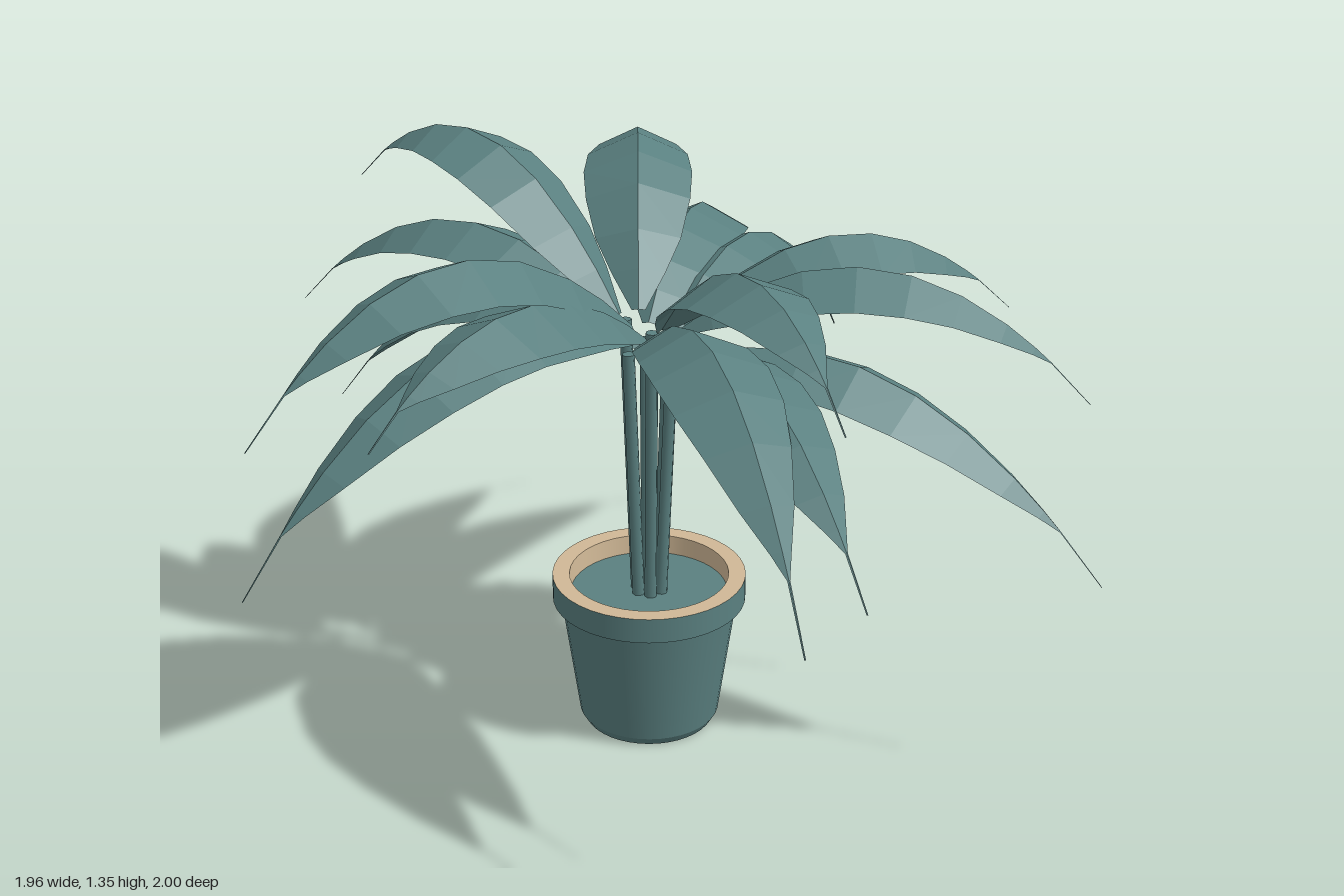
import * as THREE from 'three';

const CX = -0.03, CZ = 0.01; // pot axis

// Leaves as [base x, base z, tip x, tip z, base height, peak height, tip height, half width]
const LEAVES = [
  [-0.06, -0.02, -0.98, -0.33, 0.95, 1.06, 0.61, 0.125],
  [-0.08, 0.0, -0.95, -0.32, 1.0, 1.24, 0.94, 0.13],
  [-0.07, 0.035, -0.87, -0.06, 0.97, 1.16, 0.98, 0.13],
  [-0.06, -0.04, -0.10, -0.96, 0.97, 1.14, 0.84, 0.115],
  [0.03, -0.05, 0.05, -1.0, 0.9, 0.97, 0.52, 0.122],
  [-0.085, -0.03, -0.03, -0.82, 1.02, 1.35, 1.16, 0.12],
  [0.0, -0.04, 0.64, -0.51, 1.0, 1.26, 1.07, 0.125],
  [0.01, -0.02, 0.87, -0.36, 0.97, 1.1, 0.75, 0.125],
  [0.02, 0.035, 0.98, -0.13, 0.95, 1.06, 0.61, 0.125],
  [0.03, 0.06, 0.60, 0.56, 0.98, 1.16, 0.95, 0.125],
  [0.0, 0.06, 0.45, 0.85, 0.97, 1.14, 0.84, 0.125],
  [0.0, 0.06, 0.26, 1.0, 0.9, 0.97, 0.52, 0.125],
  [-0.05, 0.08, -0.49, 0.86, 0.95, 1.06, 0.75, 0.12],
  [-0.085, 0.05, -0.63, 0.81, 0.97, 1.12, 0.70, 0.125],
  [-0.065, 0.07, -0.42, 0.755, 1.0, 1.26, 1.07, 0.12],
];

// Relative half width along the leaf, ending in a thin bristle
const OUTLINE = [
  [0, 0.12], [0.08, 0.48], [0.17, 0.77], [0.3, 0.95], [0.43, 1], [0.56, 0.93],
  [0.68, 0.73], [0.79, 0.45], [0.86, 0.18], [0.9, 0.025], [1, 0.015],
];

// Arching leaf: a parabolic midrib with two blades folded down from it
function leafGeometry([bx, bz, tx, tz, baseY, peakY, tipY, halfWidth]) {
  const length = Math.hypot(tx - bx, tz - bz);
  const dx = (tx - bx) / length, dz = (tz - bz) / length;
  const h = peakY - baseY, d = tipY - baseY;
  const a = 2 * h + 2 * Math.sqrt(h * h - h * d), b = d - a;
  const positions = [], indices = [];
  OUTLINE.forEach(([t, w], i) => {
    const slope = (a + 2 * b * t) / length;
    const n = Math.hypot(1, slope);
    for (const side of [-1, 0, 1]) {
      const across = side * w * halfWidth;
      const drop = Math.abs(across) * 0.45;
      const r = length * t + (drop * slope) / n;
      positions.push(
        bx + dx * r - dz * across,
        baseY + a * t + b * t * t - drop / n,
        bz + dz * r + dx * across,
      );
    }
    if (i === 0) return;
    for (let j = 0; j < 2; j++) {
      const p = (i - 1) * 3 + j, q = p + 3;
      indices.push(p, p + 1, q, p + 1, q + 1, q);
    }
  });
  const indexed = new THREE.BufferGeometry();
  indexed.setAttribute('position', new THREE.Float32BufferAttribute(positions, 3));
  indexed.setIndex(indices);
  // Split corners so the facets and the midrib fold stay crisp
  const geometry = indexed.toNonIndexed();
  geometry.computeVertexNormals();
  return geometry;
}

export function createModel() {
  const model = new THREE.Group();
  model.name = 'pottedPlant';

  const green = new THREE.MeshStandardMaterial({ color: 0x5a8080, side: THREE.DoubleSide });
  green.name = 'greyGreen';
  const clay = new THREE.MeshStandardMaterial({ color: 0xd0b896 });
  clay.name = 'bareClay';

  const add = (name, geometry, material, parent) => {
    const mesh = new THREE.Mesh(geometry, material);
    mesh.name = name;
    parent.add(mesh);
    return mesh;
  };

  // Pot: separate turned bands keep the edges crisp
  const pot = new THREE.Group();
  pot.name = 'pot';
  pot.position.set(CX, 0, CZ);
  model.add(pot);
  const band = (name, material, r1, y1, r2, y2) => add(
    name,
    new THREE.LatheGeometry([new THREE.Vector2(r1, y1), new THREE.Vector2(r2, y2)], 40),
    material, pot,
  );
  band('potBottom', green, 0, 0, 0.15, 0);
  band('potFoot', green, 0.15, 0, 0.162, 0.02);
  band('potWall', green, 0.162, 0.02, 0.203, 0.31);
  band('rimUnderside', clay, 0.203, 0.31, 0.222, 0.31);
  band('rimSide', green, 0.222, 0.31, 0.222, 0.37);
  band('rimTop', clay, 0.222, 0.37, 0.183, 0.37);
  band('potInside', clay, 0.183, 0.37, 0.18, 0.325);
  band('soil', green, 0.18, 0.325, 0, 0.325);

  // Stems leaning slightly outwards
  const stems = new THREE.Group();
  stems.name = 'stems';
  model.add(stems);
  const up = new THREE.Vector3(0, 1, 0);
  const count = 6;
  for (let i = 0; i < count; i++) {
    const angle = (i / count) * Math.PI * 2 + 0.3;
    const c = Math.cos(angle), s = Math.sin(angle);
    const from = new THREE.Vector3(CX + c * 0.03, 0.32, CZ + s * 0.03);
    const to = new THREE.Vector3(CX + c * 0.056, i % 2 ? 0.93 : 0.99, CZ + s * 0.056);
    const axis = to.clone().sub(from);
    const stem = add('stem', new THREE.CylinderGeometry(0.014, 0.014, axis.length(), 8), green, stems);
    stem.position.copy(from).add(to).multiplyScalar(0.5);
    stem.quaternion.setFromUnitVectors(up, axis.normalize());
  }

  // Leaves
  const leaves = new THREE.Group();
  leaves.name = 'leaves';
  model.add(leaves);
  for (const leaf of LEAVES) add('leaf', leafGeometry(leaf), green, leaves);

  return model;
}
